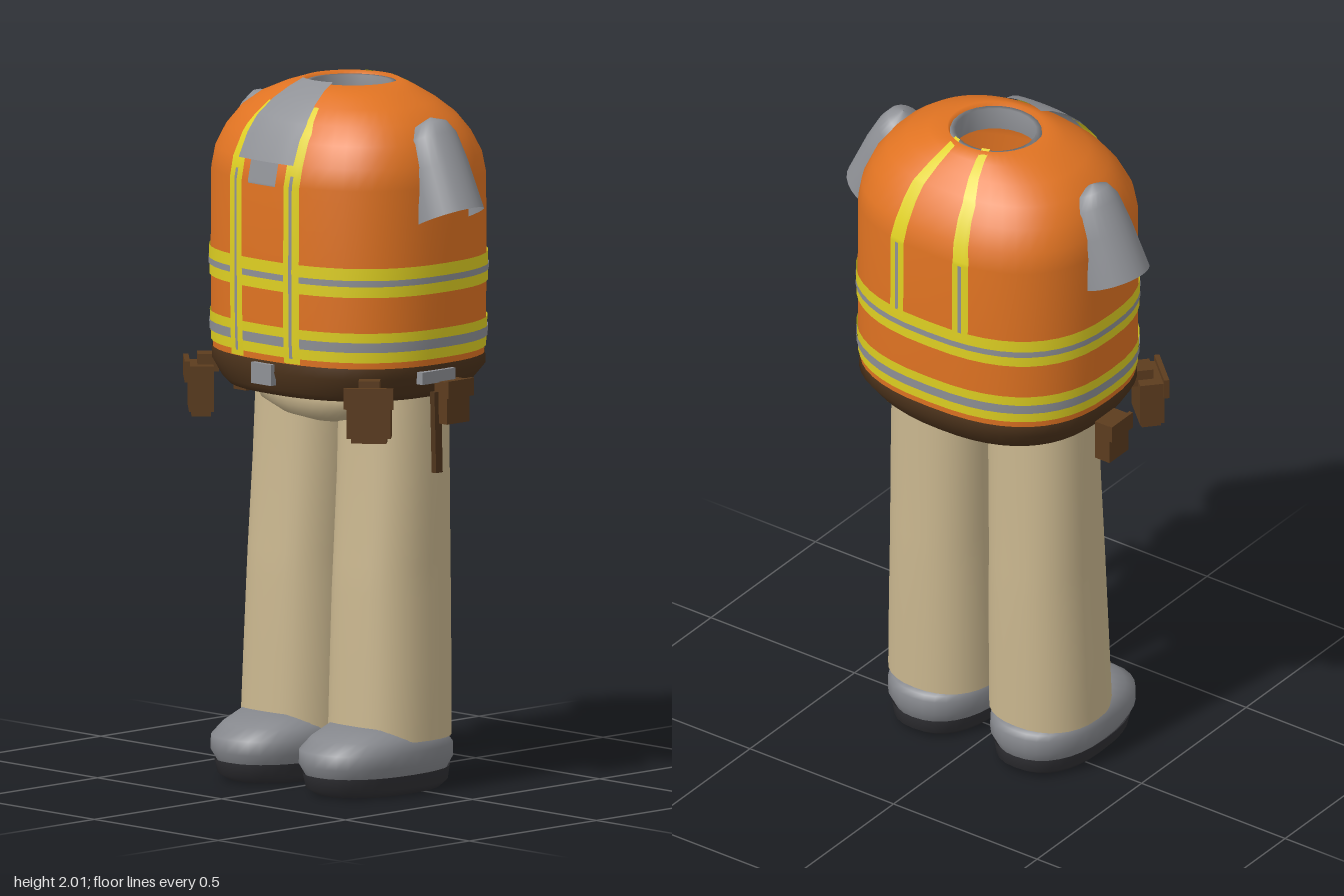
import * as THREE from 'three';

const mat = (name, color) => {
  const m = new THREE.MeshStandardMaterial({ color, side: THREE.DoubleSide });
  m.name = name;
  return m;
};

// Torso outline: [y, half width, half depth, x centre, z centre, roundness]
const VEST = [
  [1.225, 0.385, 0.327, 0, 0, 2.5], [1.3, 0.39, 0.332, 0, 0, 2.5],
  [1.5, 0.392, 0.334, 0, 0, 2.5], [1.74, 0.39, 0.333, 0, 0, 2.5],
  [1.8, 0.381, 0.32, 0, 0, 2.5], [1.86, 0.357, 0.29, 0, 0, 2.45],
  [1.91, 0.32, 0.253, 0, 0, 2.4], [1.95, 0.267, 0.21, 0, 0, 2.3],
  [1.98, 0.2, 0.168, 0, -0.005, 2.15], [2.0, 0.138, 0.133, 0, -0.01, 2],
];

// Stacked superellipse rings, optionally sloped along x and z
function loft(rings, seg = 48) {
  const pos = [], idx = [];
  for (const [y, hx, hz, cx = 0, cz = 0, n = 2, sx = 0, sz = 0] of rings) {
    for (let i = 0; i < seg; i++) {
      const a = (i / seg) * Math.PI * 2, c = Math.cos(a), s = Math.sin(a);
      const x = Math.sign(c) * Math.abs(c) ** (2 / n) * hx;
      const z = Math.sign(s) * Math.abs(s) ** (2 / n) * hz;
      pos.push(cx + x, y + sx * x + sz * z, cz + z);
    }
  }
  for (let j = 0; j < rings.length - 1; j++) {
    for (let i = 0; i < seg; i++) {
      const a = j * seg + i, b = j * seg + ((i + 1) % seg);
      idx.push(a, a + seg, b, a + seg, b + seg, b);
    }
  }
  const g = new THREE.BufferGeometry();
  g.setAttribute('position', new THREE.Float32BufferAttribute(pos, 3));
  g.setIndex(idx);
  g.computeVertexNormals();
  return g;
}

function lerpTable(table, y) {
  let i = 0;
  while (i < table.length - 2 && y > table[i + 1][0]) i++;
  const t = THREE.MathUtils.clamp((y - table[i][0]) / (table[i + 1][0] - table[i][0]), 0, 1);
  return table[i].map((v, k) => v + (table[i + 1][k] - v) * t);
}

// Thin patch lying on the front of the vest; edges are rows of [y, x0, x1]
function vestPatch(edges, lift, cols = 4) {
  const ys = new Set(edges.map(e => e[0]));
  const lo = edges[0][0], hi = edges[edges.length - 1][0];
  for (const r of VEST) if (r[0] > lo && r[0] < hi) ys.add(r[0]);
  const rows = [...ys].sort((a, b) => a - b), pos = [], idx = [];
  rows.forEach((y, j) => {
    const [, hx, hz, , cz, n] = lerpTable(VEST, y), [, x0, x1] = lerpTable(edges, y);
    for (let i = 0; i <= cols; i++) {
      const x = x0 + ((x1 - x0) * i) / cols;
      const z = cz + hz * (1 - Math.abs(x / hx) ** n) ** (1 / n);
      pos.push(x, y + (y > 1.85 ? lift * 0.8 : 0), z + lift);
      if (j && i) {
        const d = j * (cols + 1) + i, b = d - cols - 1;
        idx.push(b - 1, b, d, b - 1, d, d - 1);
      }
    }
  });
  const g = new THREE.BufferGeometry();
  g.setAttribute('position', new THREE.Float32BufferAttribute(pos, 3));
  g.setIndex(idx);
  g.computeVertexNormals();
  return g;
}

// Band wrapped all around the vest
const vestBand = (y0, y1, lift) => loft([y0, y1].map(y => {
  const [, hx, hz, cx, cz, n] = lerpTable(VEST, y);
  return [y, hx + lift, hz + lift, cx, cz, n];
}));

const mirrorRings = (rings, s) =>
  rings.map(([y, hx, hz, cx = 0, cz = 0, n = 2, sx = 0, sz = 0]) => [y, hx, hz, cx * s, cz, n, sx * s, sz]);

export function createModel() {
  const root = new THREE.Group();
  root.name = 'workerOutfit';
  const orange = mat('vestOrange', 0xe07322), yellow = mat('safetyYellow', 0xdfd022);
  const grey = mat('shirtGrey', 0x8f9196), shoeGrey = mat('shoeGrey', 0x85878c);
  const tan = mat('trouserTan', 0xcab78f), brown = mat('beltBrown', 0x4e341c);
  const leather = mat('pouchBrown', 0x5c3c1e), dark = mat('soleDark', 0x303034);
  const add = (name, geo, m, parent = root) => {
    const mesh = new THREE.Mesh(geo, m);
    mesh.name = name;
    parent.add(mesh);
    return mesh;
  };
  const box = (name, size, p, m, parent = root) => {
    const b = add(name, new THREE.BoxGeometry(...size), m, parent);
    b.position.set(...p);
    return b;
  };

  // Vest and collar
  add('vest', loft([...VEST, [1.98, 0.13, 0.125, 0, -0.01, 2]]), orange);
  add('collar', loft([[1.94, 0.14, 0.135, 0, -0.01], [1.99, 0.131, 0.126, 0, -0.01],
    [1.99, 0.116, 0.112, 0, -0.01], [1.92, 0.122, 0.118, 0, -0.01]], 24), grey);

  // Reflective bands around the body
  for (const [y0, y1, g0, g1] of [[1.437, 1.52, 1.468, 1.486], [1.25, 1.335, 1.28, 1.308]]) {
    add('yellowBand', vestBand(y0, y1, 0.004), yellow);
    add('reflectiveBand', vestBand(g0, g1, 0.006), grey);
  }

  // Vertical stripes, front and back
  const side = (edges, s) => edges.map(([y, a, b]) => (s > 0 ? [y, a, b] : [y, -b, -a]));
  for (const s of [1, -1]) {
    add('frontStripe', vestPatch(side([[1.235, 0.082, 0.138], [1.8, 0.085, 0.14],
      [1.88, 0.085, 0.13], [1.945, 0.075, 0.1]], s), 0.008), yellow);
    add('frontReflector', vestPatch(side([[1.25, 0.103, 0.114], [1.77, 0.105, 0.116]], s), 0.01), grey);
    const back = add('backStripe', vestPatch(side([[1.5, 0.085, 0.135], [1.75, 0.085, 0.135],
      [1.9, 0.07, 0.11], [1.998, 0.038, 0.06]], s), 0.006), yellow);
    const strip = add('backReflector', vestPatch(side([[1.52, 0.104, 0.115], [1.74, 0.104, 0.115]], s), 0.008), grey);
    back.rotation.y = strip.rotation.y = Math.PI;
  }

  // Shirt front showing at the neck
  add('shirtFront', vestPatch([[1.8, -0.11, 0.11], [1.9, -0.102, 0.102],
    [1.95, -0.085, 0.085], [2.0, -0.06, 0.06]], 0.011, 8), grey);
  add('shirtPlacket', vestPatch([[1.735, -0.055, 0.055], [1.8, -0.055, 0.055]], 0.011), grey);

  // Belt and buckle
  add('belt', loft([[1.13, 0.27, 0.17, 0, 0, 2.3], [1.132, 0.335, 0.29, 0, 0.01, 2.4],
    [1.15, 0.355, 0.307, 0, 0.008, 2.4], [1.2, 0.387, 0.333, 0, 0, 2.5],
    [1.232, 0.388, 0.33, 0, 0, 2.5]]), brown);
  box('buckle', [0.08, 0.06, 0.02], [0, 1.195, 0.335], grey);
  box('beltClip', [0.025, 0.035, 0.13], [0.388, 1.2, 0.035], grey);

  // Trouser seat
  add('trouserSeat', loft([[1.035, 0.001, 0.001, 0, 0.01], [1.037, 0.09, 0.11, 0, 0.01],
    [1.055, 0.2, 0.165, 0, 0.01], [1.085, 0.265, 0.185, 0, 0.01, 2.4],
    [1.14, 0.305, 0.2, 0, 0.01, 2.4], [1.14, 0.001, 0.001]]), tan);

  for (const s of [1, -1]) {
    const label = s > 0 ? 'left' : 'right';

    // Sleeve: open tube leaning outwards
    add(label + 'Sleeve', loft(mirrorRings([[1.646, 0.105, 0.1, 0.4, 0, 2, 0.42],
      [1.782, 0.09, 0.092, 0.352, 0, 2, 0.42], [1.865, 0.07, 0.08, 0.328, 0, 2, 0.42],
      [1.905, 0.045, 0.052, 0.325, 0, 2, 0.42], [1.927, 0.001, 0.001, 0.33]], s), 28), grey);

    // Trouser leg
    add(label + 'Leg', loft(mirrorRings([[0.15, 0.165, 0.168, 0.176, 0.01, 2.3],
      [0.35, 0.161, 0.167, 0.174, 0.005, 2.3], [0.56, 0.156, 0.165, 0.172, 0, 2.3],
      [0.65, 0.155, 0.161, 0.172, -0.002, 2.3], [0.9, 0.153, 0.151, 0.17, -0.01, 2.3],
      [1.14, 0.15, 0.147, 0.167, -0.015, 2.3]], s), 32), tan);

    // Shoe upper and sole
    add(label + 'Shoe', loft(mirrorRings([[0.05, 0.145, 0.225, 0.178, 0.065, 2.3],
      [0.085, 0.166, 0.243, 0.178, 0.066, 2.3], [0.125, 0.166, 0.241, 0.178, 0.066, 2.3],
      [0.148, 0.157, 0.212, 0.178, 0.05, 2.3, 0, 0.05], [0.172, 0.14, 0.17, 0.178, 0.02, 2.2, 0, 0.13],
      [0.176, 0.001, 0.001, 0.178, 0.02]], s), 32), shoeGrey);
    add(label + 'Sole', loft(mirrorRings([[0, 0.001, 0.001, 0.178, 0.06], [0, 0.13, 0.2, 0.178, 0.06, 2.3],
      [0.018, 0.146, 0.228, 0.178, 0.063, 2.3], [0.058, 0.155, 0.234, 0.178, 0.065, 2.3]], s), 32), dark);

    // Front pouch, turned to follow the belt
    const pouch = new THREE.Group();
    pouch.name = label + 'FrontPouch';
    pouch.position.set(s * 0.34, 1.12, 0.25);
    pouch.rotation.y = s * 0.74;
    root.add(pouch);
    box('pouchBody', [0.125, 0.13, 0.07], [0, -0.01, 0], leather, pouch);
    box('pouchBase', [0.1, 0.02, 0.055], [0, -0.08, 0], leather, pouch);
    box('pouchFlap', [0.14, 0.06, 0.015], [0, 0.04, 0.04], leather, pouch);
    box('pouchLoop', [0.06, 0.05, 0.06], [0, 0.06, -0.02], leather, pouch);

    // Side pouch
    box(label + 'SidePouch', [0.05, 0.12, 0.09], [s * 0.405, 1.125, -0.012], leather);
    box(label + 'SidePouchFlap', [0.012, 0.05, 0.1], [s * 0.436, 1.165, -0.012], leather);
  }

  // Tool handle hanging on one side
  const handle = box('toolHandle', [0.018, 0.23, 0.026], [0.39, 1.04, 0.035], brown);
  handle.rotation.z = 0.03;

  return root;
}
